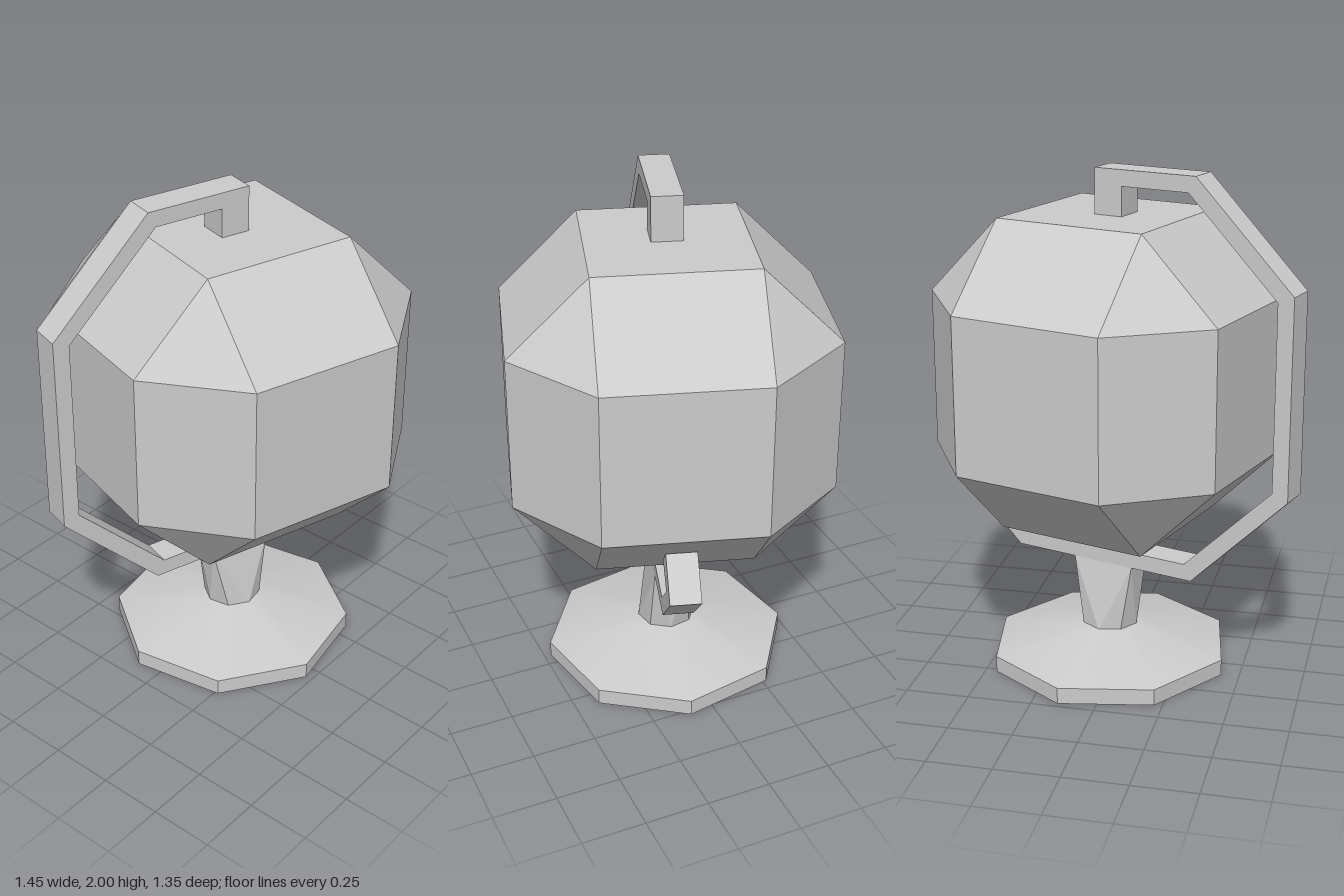
import * as THREE from 'three';
import { ConvexGeometry } from 'three/addons/geometries/ConvexGeometry.js';

const AXIS_X = 0.047;                        // vertical axis of ball, stem and base
const TURN = THREE.MathUtils.degToRad(17);   // heading of ball and arm
const BASE_TURN = THREE.MathUtils.degToRad(12);

export function createModel() {
  const model = new THREE.Group();
  model.name = 'globe';
  const flat = new THREE.MeshStandardMaterial({ color: 0xcccccc, flatShading: true });
  const smooth = new THREE.MeshStandardMaterial({ color: 0xcccccc });

  const add = (name, geometry, y, turn, material = flat) => {
    const mesh = new THREE.Mesh(geometry, material);
    mesh.name = name;
    mesh.position.set(AXIS_X, y, -0.002);
    mesh.rotation.y = -turn;
    model.add(mesh);
  };

  // Ball: a cube with bevelled edges and corners
  const a = 0.306, c = 0.612;
  const ballPoints = [];
  for (const sx of [-1, 1]) for (const sy of [-1, 1]) for (const sz of [-1, 1]) {
    for (const [x, y, z] of [[c, a, a], [a, c, a], [a, a, c]]) {
      ballPoints.push(new THREE.Vector3(sx * x, sy * y, sz * z));
    }
  }
  add('ball', new ConvexGeometry(ballPoints), 1.213, TURN);

  // Arm: angular bracket from the top pin round to the lower hook
  const outline = [
    [0.03, 1.82], [0.03, 2], [-0.392, 2], [-0.79, 1.602], [-0.79, 0.823],
    [-0.392, 0.425], [0.39, 0.425], [0.612, 0.63], [0.481, 0.772], [0.403, 0.692],
    [0.523, 0.625], [0.366, 0.49], [-0.362, 0.49], [-0.726, 0.85], [-0.726, 1.575],
    [-0.362, 1.938], [-0.086, 1.938], [-0.086, 1.82],
  ];
  // Square up the inside corner of the hook
  outline[10] = [0.5, 0.615];
  const armShape = new THREE.Shape(outline.map(([x, y]) => new THREE.Vector2(x, y)));
  const arm = new THREE.ExtrudeGeometry(armShape, { depth: 0.12, bevelEnabled: false });
  arm.translate(0, 0, -0.06);
  add('arm', arm, 0, TURN);

  // Stem: octagonal foot blending to a rectangular top
  const stemPoints = [];
  for (let i = 0; i < 8; i++) {
    const t = BASE_TURN - TURN + i * Math.PI / 4;
    stemPoints.push(new THREE.Vector3(0.115 * Math.cos(t), 0.15, 0.115 * Math.sin(t)));
  }
  for (const sx of [-1, 1]) for (const sz of [-1, 1]) {
    stemPoints.push(new THREE.Vector3(sx * 0.13, 0.425, sz * 0.06));
  }
  add('stem', new ConvexGeometry(stemPoints), 0, TURN);

  // Base: octagonal plate with a shallow sloping top
  add('basePlate', new THREE.CylinderGeometry(0.486, 0.486, 0.065, 8), 0.0325, BASE_TURN);
  add('baseSlope', new THREE.CylinderGeometry(0.115, 0.486, 0.09, 8, 1, true), 0.11, BASE_TURN, smooth);

  return model;
}
